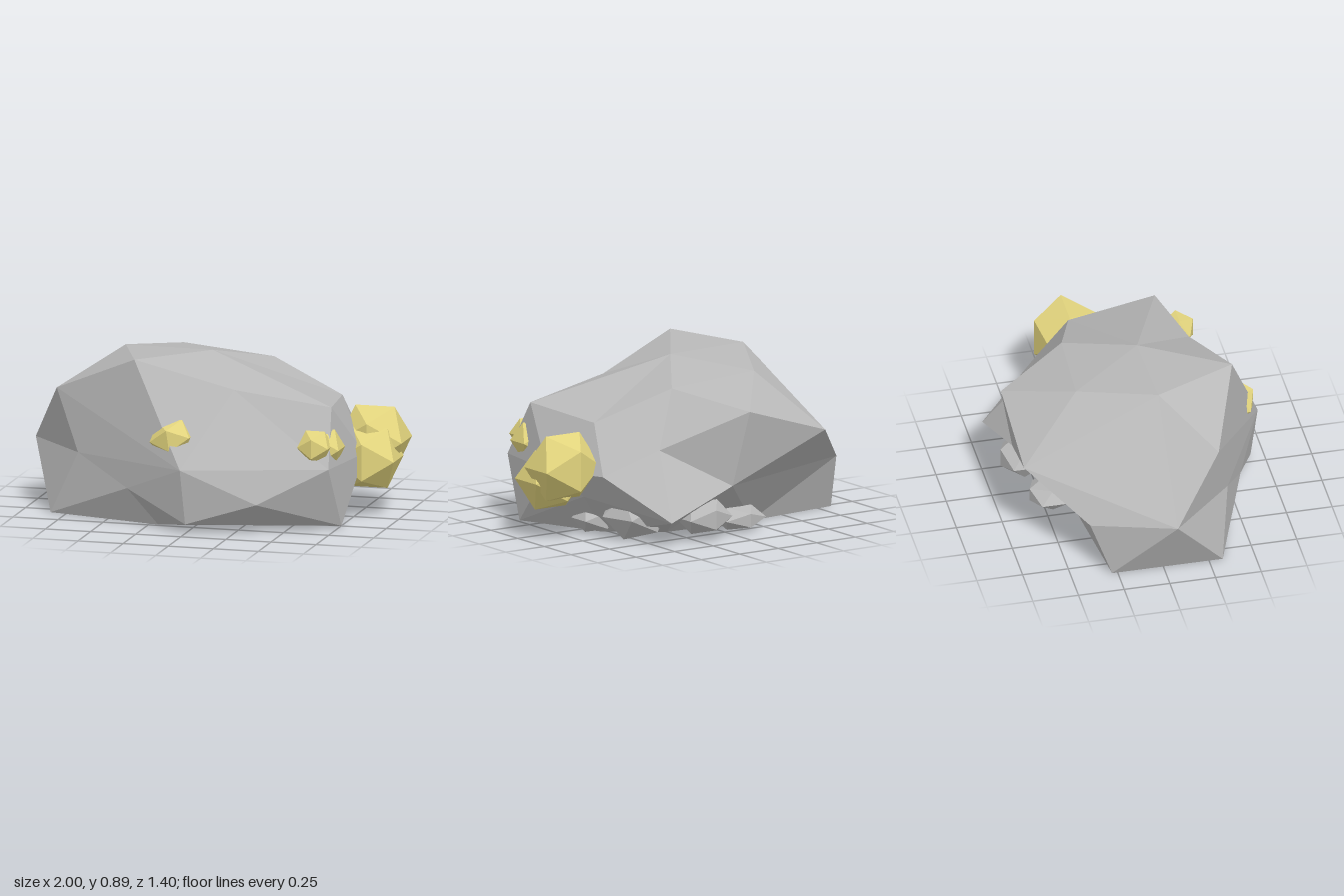
import * as THREE from 'three';
import { ConvexGeometry } from 'three/addons/geometries/ConvexGeometry.js';

const stone = new THREE.MeshStandardMaterial({ name: 'greyStone', color: 0xb8b8b8, flatShading: true });
const gold = new THREE.MeshStandardMaterial({ name: 'paleGold', color: 0xe2d47d, flatShading: true });

// Corners of the boulder, joined by triangulating their directions from its middle
const upper = [
  [-0.33, 0.895, 0.49], [-0.02, 0.875, 0.04], [-0.5, 0.88, 0.05], [-0.29, 0.82, -0.355],
  [0.22, 0.78, -0.32], [0.19, 0.735, 0.37], [0.71, 0.655, 0.3], [0.635, 0.62, -0.19],
  [-0.81, 0.68, 0.31], [-0.02, 0.69, -0.705], [0.39, 0.485, -0.45],
];
const middle = [
  [-1, 0.35, 0.045], [-0.67, 0.35, 0.39], [-0.02, 0.35, 0.7],
  [0.74, 0.35, 0.47], [0.81, 0.35, 0], [0.695, 0.36, -0.36], [0.04, 0.28, -0.63],
  [-0.52, 0.53, -0.69], [-0.8, 0.3, -0.39], [0.385, 0.17, 0.635], [-0.36, 0.2, 0.53],
  [0.48, 0.14, -0.695], [0.69, 0.22, -0.17],
];
const lower = [
  [-0.84, 0, 0.325], [-0.2, 0, 0.48], [0, 0.05, 0.665], [0.77, 0.015, 0.315],
  [0.53, 0, -0.12], [0.25, 0, -0.32], [-0.28, 0, -0.34], [-0.84, 0, -0.28], [0, 0, 0],
];

function boulderGeometry() {
  const points = [...upper, ...middle, ...lower].map((p) => new THREE.Vector3(...p));
  const directions = points.map((p) => new THREE.Vector3(p.x / 0.9, (p.y - 0.4) / 0.45, p.z / 0.7).normalize());
  const geometry = new ConvexGeometry(directions);
  const position = geometry.attributes.position;
  const v = new THREE.Vector3();
  for (let i = 0; i < position.count; i++) {
    v.fromBufferAttribute(position, i);
    let best = 0;
    directions.forEach((d, k) => {
      if (d.distanceToSquared(v) < directions[best].distanceToSquared(v)) best = k;
    });
    position.setXYZ(i, points[best].x, points[best].y, points[best].z);
  }
  geometry.computeVertexNormals();
  return geometry;
}

export function createModel() {
  const model = new THREE.Group();
  model.name = 'goldOreRock';

  const boulder = new THREE.Mesh(boulderGeometry(), stone);
  boulder.name = 'boulder';
  model.add(boulder);

  // Faceted lump with its own size and turn
  const addLump = (name, material, centre, size, turn = [0, 0, 0]) => {
    const lump = new THREE.Mesh(new THREE.IcosahedronGeometry(1, 0), material);
    lump.name = name;
    lump.position.set(...centre);
    lump.scale.set(...size);
    lump.rotation.set(...turn);
    model.add(lump);
  };

  // Nuggets set into the sides
  addLump('largeNuggetUpper', gold, [0.822, 0.4, -0.165], [0.207, 0.207, 0.2]);
  addLump('largeNuggetLower', gold, [0.823, 0.318, -0.05], [0.19, 0.19, 0.19]);
  addLump('frontNugget', gold, [-0.1, 0.495, 0.562], [0.13, 0.11, 0.11], [0, 0, 0.15]);
  addLump('cornerNugget', gold, [0.65, 0.46, 0.41], [0.1, 0.1, 0.1]);
  addLump('sideNugget', gold, [0.675, 0.44, 0.33], [0.118, 0.12, 0.125]);

  // Rubble under the overhang
  addLump('sideRubble', stone, [0.48, 0.125, -0.34], [0.17, 0.14, 0.19], [0, 0.3, 0]);
  addLump('smallSideRubble', stone, [0.55, 0.075, -0.08], [0.13, 0.085, 0.13]);
  addLump('backRubble', stone, [0.17, 0.115, -0.55], [0.16, 0.1, 0.135]);
  addLump('smallBackRubble', stone, [-0.12, 0.06, -0.46], [0.15, 0.07, 0.13]);
  return model;
}
